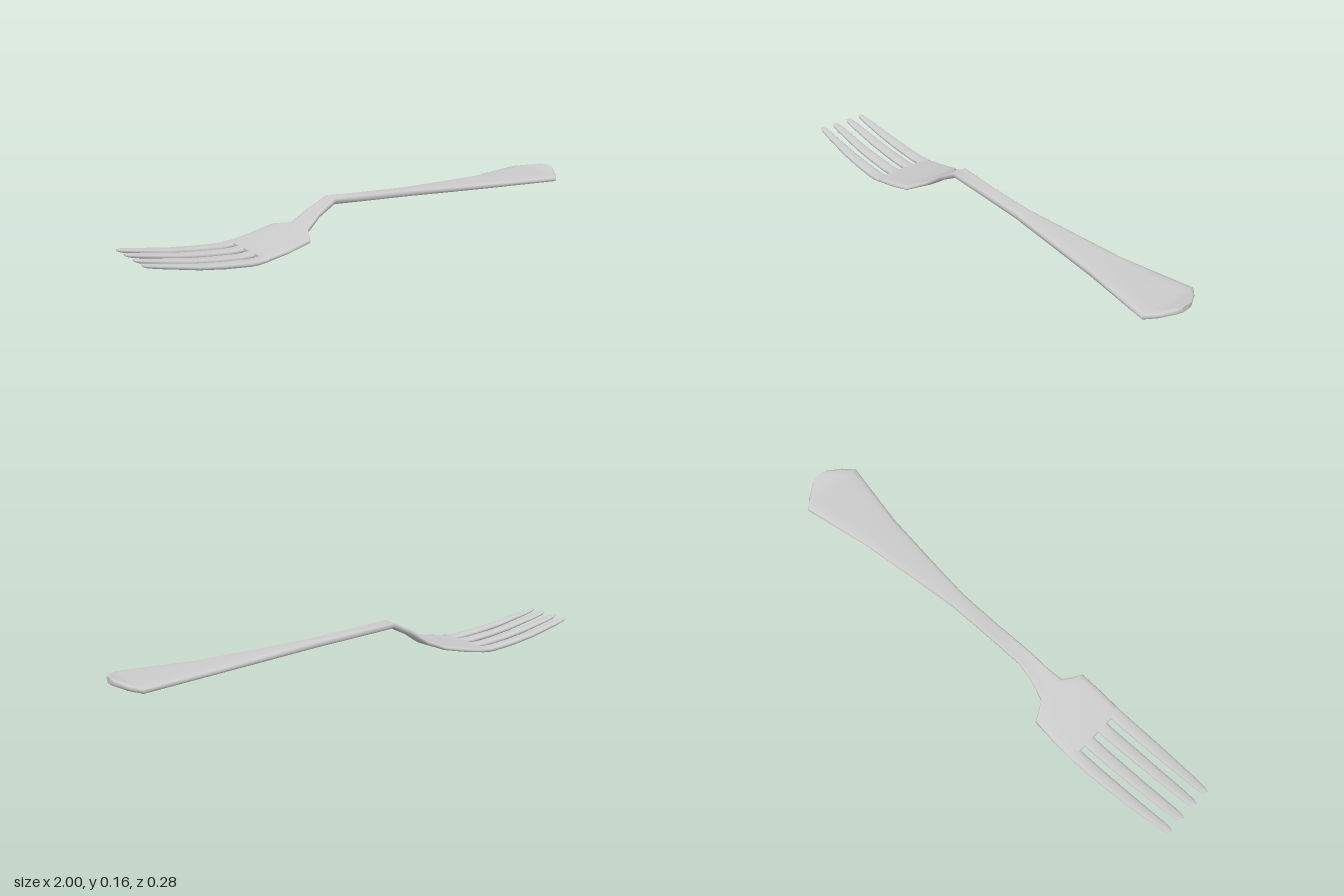
import * as THREE from 'three';

const SIDES = 16;

// Lofts rounded-rectangle rings along +x.
// Each section: [x, y centre, half width, half thickness, z centre, lift of the edges]
function loft(sections, power) {
  const pos = [], idx = [];
  const bulge = (v) => Math.sign(v) * Math.pow(Math.abs(v), power);
  const addRing = ([x, y, w, t, zc = 0, lift = 0]) => {
    const start = pos.length / 3;
    for (let j = 0; j < SIDES; j++) {
      const a = (j / SIDES) * Math.PI * 2;
      const c = Math.abs(Math.cos(a)) < 1e-6 ? 0 : bulge(Math.cos(a));
      const s = Math.abs(Math.sin(a)) < 1e-6 ? 0 : bulge(Math.sin(a));
      pos.push(x, y + t * s + lift * c * c, zc + w * c);
    }
    return start;
  };
  const rings = sections.map(addRing);
  for (let i = 0; i < rings.length - 1; i++) {
    for (let j = 0; j < SIDES; j++) {
      const k = (j + 1) % SIDES;
      const a = rings[i] + j, b = rings[i] + k, c = rings[i + 1] + j, d = rings[i + 1] + k;
      idx.push(a, c, b, b, c, d);
    }
  }
  // Flat caps with their own vertices, so the end edges stay crisp
  [sections[0], sections[sections.length - 1]].forEach((sec, end) => {
    const s = addRing(sec);
    for (let j = 1; j < SIDES - 1; j++) {
      if (end) idx.push(s, s + j + 1, s + j);
      else idx.push(s, s + j, s + j + 1);
    }
  });
  const g = new THREE.BufferGeometry();
  g.setAttribute('position', new THREE.Float32BufferAttribute(pos, 3));
  g.setIndex(idx);
  g.computeVertexNormals();
  return g;
}

export function createModel() {
  const group = new THREE.Group();
  group.name = 'fork';
  const metal = new THREE.MeshStandardMaterial({ color: 0xcccccc });
  const add = (name, geometry) => {
    const mesh = new THREE.Mesh(geometry, metal);
    mesh.name = name;
    group.add(mesh);
  };

  // Palm, bent neck and flaring handle in one piece
  add('palmNeckAndHandle', loft([
    [-0.545, 0.013, 0.139, 0.011],
    [-0.45, 0.027, 0.139, 0.011],
    [-0.35, 0.048, 0.134, 0.011],
    [-0.31, 0.060, 0.060, 0.012, 0, 0.003],
    [-0.245, 0.104, 0.042, 0.013, 0, 0.005],
    [-0.165, 0.143, 0.033, 0.013, 0, 0.007],
    [0.0, 0.132, 0.031, 0.014, 0, 0.002],
    [0.2, 0.118, 0.033, 0.014],
    [0.42, 0.104, 0.056, 0.014],
    [0.64, 0.091, 0.080, 0.014],
    [0.925, 0.083, 0.133, 0.014],
    [0.962, 0.090, 0.093, 0.014],
    [0.993, 0.099, 0.042, 0.013],
    [1.0, 0.101, 0.015, 0.012],
  ], 0.55));

  // Tines: [x, y, half thickness, progress from root to tip, width factor]
  const stations = [
    [-1.0, 0.083, 0.004, 1, 0.45],
    [-0.985, 0.079, 0.007, 0.97, 0.85],
    [-0.95, 0.071, 0.008, 0.9, 1],
    [-0.8, 0.039, 0.010, 0.58, 1],
    [-0.7, 0.024, 0.011, 0.36, 1],
    [-0.6, 0.013, 0.011, 0.13, 1],
    [-0.57, 0.012, 0.011, 0.06, 1],
    [-0.53, 0.015, 0.010, 0, 1],
  ];
  // [name, root inner z, root outer z, tip inner z, tip outer z]
  const tines = [
    ['outerTine', 0.087, 0.139, 0.087, 0.115],
    ['innerTine', 0.013, 0.064, 0.019, 0.053],
  ];
  for (const [name, ri, ro, ti, to] of tines) {
    for (const side of [-1, 1]) {
      const sections = stations.map(([x, y, t, p, f]) => {
        const inner = ri + (ti - ri) * p;
        const outer = ro + (to - ro) * p * p;
        return [x, y, ((outer - inner) / 2) * f, t, (side * (inner + outer)) / 2, 0];
      });
      add((side > 0 ? 'front' : 'back') + name[0].toUpperCase() + name.slice(1), loft(sections, 0.75));
    }
  }
  return group;
}
